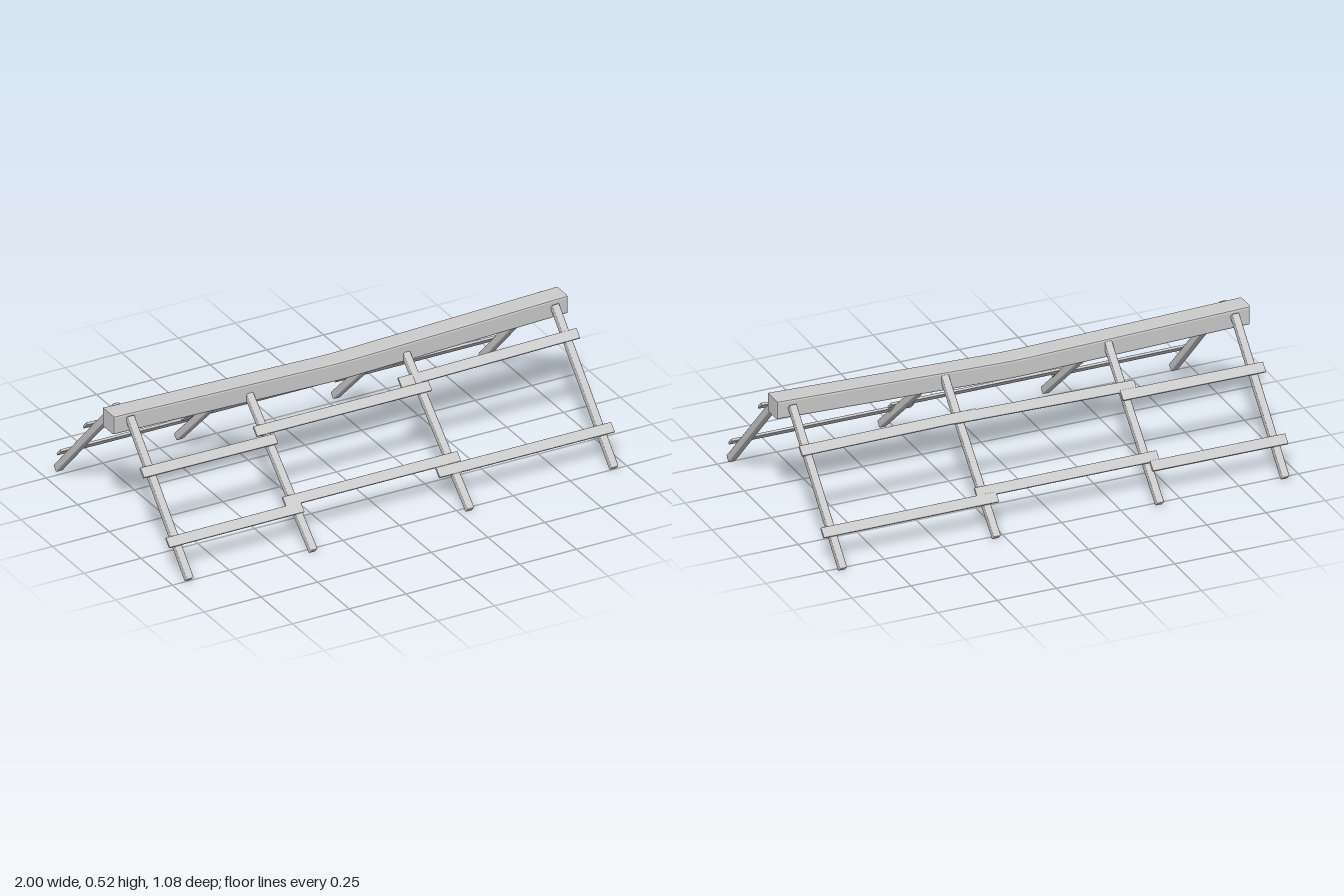
import * as THREE from 'three';
import { RoundedBoxGeometry } from 'three/addons/geometries/RoundedBoxGeometry.js';

const material = new THREE.MeshStandardMaterial({ color: 0xcccccc });

// Bar running from a to b; "up" is the direction its thickness faces.
function bar(name, a, b, width, thickness, up, radius) {
  const start = new THREE.Vector3(...a);
  const end = new THREE.Vector3(...b);
  const along = end.clone().sub(start);
  const length = along.length();
  along.normalize();
  const side = along.clone().cross(new THREE.Vector3(...up)).normalize();
  const normal = side.clone().cross(along);
  const mesh = new THREE.Mesh(new RoundedBoxGeometry(length, thickness, width, 2, radius), material);
  mesh.quaternion.setFromRotationMatrix(new THREE.Matrix4().makeBasis(along, normal, side));
  mesh.position.copy(start).add(end).multiplyScalar(0.5);
  mesh.name = name;
  return mesh;
}

// Sagging ridge beam with bevelled edges
function ridgeBeam() {
  const bevel = 0.008;
  const outline = [
    [-1, 0.44], [-0.06, 0.4185], [0, 0.418], [0.06, 0.419], [1, 0.45],
    [1, 0.527], [0.06, 0.497], [0, 0.496], [-0.06, 0.4965], [-1, 0.519],
  ].map(([x, y]) => new THREE.Vector2(x, y));
  const geometry = new THREE.ExtrudeGeometry(new THREE.Shape(outline), {
    depth: 0.092 - 2 * bevel, bevelEnabled: true, bevelSegments: 2,
    bevelSize: bevel, bevelThickness: bevel, bevelOffset: -bevel,
  });
  geometry.translate(0, 0, -0.056 + bevel);
  const mesh = new THREE.Mesh(geometry, material);
  mesh.name = 'ridgeBeam';
  return mesh;
}

export function createModel() {
  const model = new THREE.Group();
  model.name = 'roofFrame';
  model.add(ridgeBeam());

  // Each slope: rafter ends as [y, z], battens as [x0, y0, z0, x1, y1, z1]
  const slopes = [
    {
      name: 'front', up: [0, 0.72, 0.69],
      outer: [[0.012, 0.507], [0.502, 0.036]],
      inner: [[0.012, 0.535], [0.462, 0.02]],
      battens: [
        [-0.975, 0.14, 0.415, -0.38, 0.14, 0.412],
        [-0.445, 0.166, 0.385, 0.325, 0.166, 0.385],
        [0.215, 0.135, 0.413, 0.985, 0.135, 0.415],
        [-0.975, 0.35, 0.212, -0.375, 0.336, 0.195],
        [-0.445, 0.366, 0.155, 0.325, 0.366, 0.155],
        [0.215, 0.387, 0.113, 0.985, 0.417, 0.141],
      ],
    },
    {
      name: 'back', up: [0, 0.7, -0.71],
      outer: [[0.014, -0.532], [0.502, -0.062]],
      inner: [[0.014, -0.532], [0.49, -0.04]],
      battens: [
        [-0.975, 0.133, -0.445, -0.405, 0.133, -0.442],
        [-0.445, 0.158, -0.415, 0.325, 0.158, -0.415],
        [0.245, 0.136, -0.44, 0.985, 0.136, -0.44],
        [-0.975, 0.347, -0.238, -0.375, 0.345, -0.229],
        [-0.445, 0.366, -0.206, 0.325, 0.375, -0.195],
        [0.22, 0.376, -0.193, 0.97, 0.378, -0.206],
      ],
    },
  ];

  for (const slope of slopes) {
    const group = new THREE.Group();
    group.name = slope.name + 'Slope';

    // Rafters leaning on the ridge beam
    [-0.93, -0.4, 0.29, 0.94].forEach((x, i) => {
      const [foot, top] = i === 0 || i === 3 ? slope.outer : slope.inner;
      group.add(bar(slope.name + 'Rafter', [x, ...foot], [x, ...top], 0.03, 0.03, slope.up, 0.004));
    });

    // Flat battens laid across the rafters
    for (const b of slope.battens) {
      group.add(bar(slope.name + 'Batten', b.slice(0, 3), b.slice(3), 0.042, 0.01, slope.up, 0.001));
    }
    model.add(group);
  }
  return model;
}
